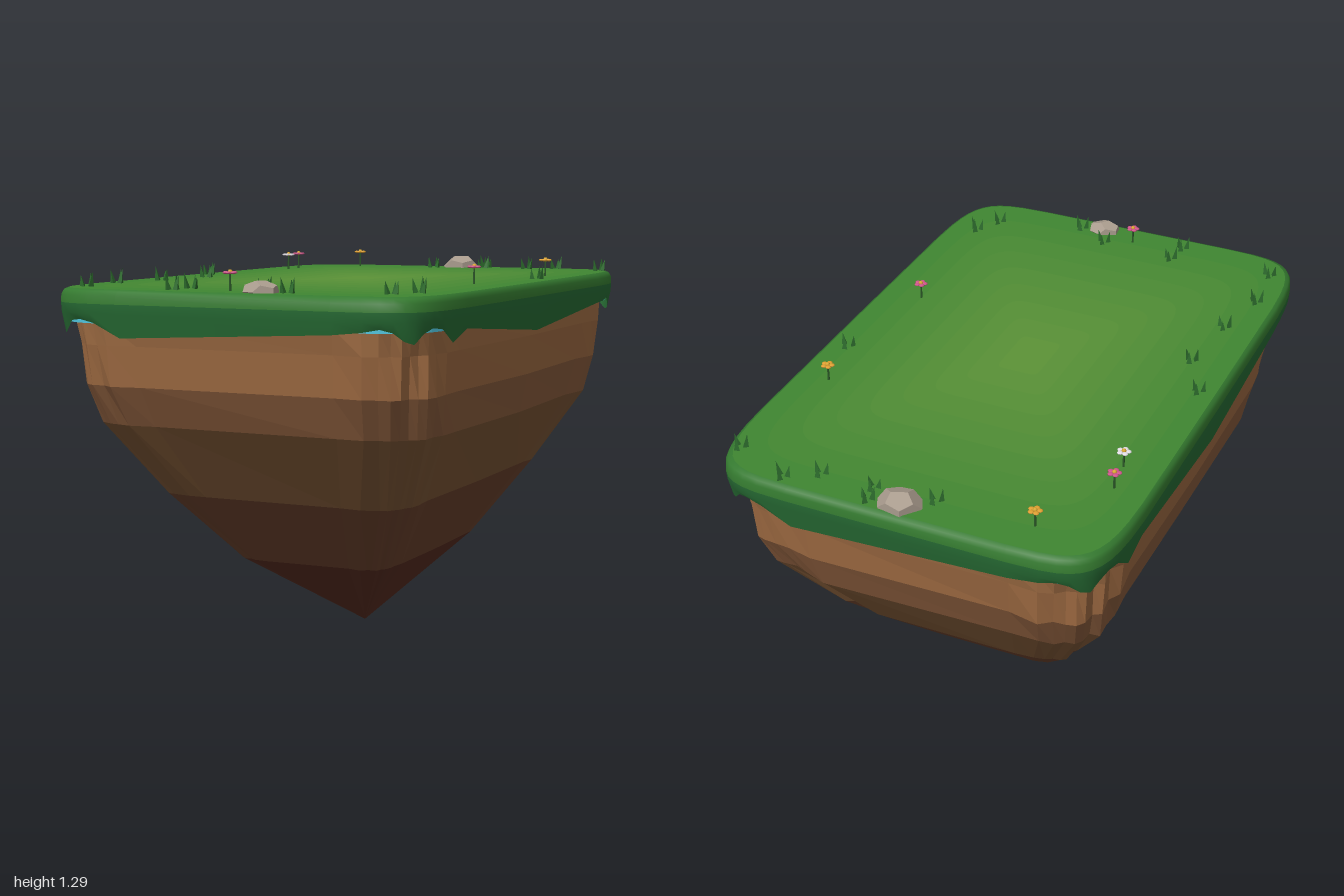
import * as THREE from 'three';

const SEGMENTS = 46, HALF_X = 0.665, HALF_Z = 1, TOP = 1.22;

// Repeatable noise in 0..1
const noise = (a, b = 0) => {
  const s = Math.sin(a * 12.9898 + b * 78.233) * 43758.5453;
  return s - Math.floor(s);
};

const paint = (color, extra = {}) => new THREE.MeshStandardMaterial({ color, ...extra });

function add(parent, name, geometry, material) {
  const mesh = new THREE.Mesh(geometry, material);
  mesh.name = name;
  parent.add(mesh);
  return mesh;
}

// Squarish oval cross-section; height and inset may vary with the column
function ring(halfX, halfZ, height, inset = () => 1) {
  const soft = v => Math.sign(v) * Math.abs(v) ** 0.22;
  return Array.from({ length: SEGMENTS }, (_, k) => {
    const a = k / SEGMENTS * Math.PI * 2, s = inset(k);
    const y = typeof height === 'function' ? height(k) : height;
    return [halfX * s * soft(Math.cos(a)), y, halfZ * s * soft(Math.sin(a))];
  });
}
const islandRing = (scale, height) => ring(HALF_X * scale, HALF_Z * scale, height);

// Skin through a list of rings
function loft(rings) {
  const index = [];
  for (let r = 0; r < rings.length - 1; r++) {
    for (let k = 0; k < SEGMENTS; k++) {
      const a = r * SEGMENTS + k, b = r * SEGMENTS + (k + 1) % SEGMENTS;
      index.push(a, b, a + SEGMENTS, b, b + SEGMENTS, a + SEGMENTS);
    }
  }
  const g = new THREE.BufferGeometry();
  g.setAttribute('position', new THREE.Float32BufferAttribute(rings.flat(2), 3));
  g.setIndex(index);
  g.computeVertexNormals();
  return g;
}

function makeGrass() {
  const group = new THREE.Group();
  group.name = 'grass';

  // Lawn: concentric rings, lighter in the middle
  const middle = new THREE.Color(0x5c9337), edge = new THREE.Color(0x3f8631), steps = 9;
  for (let i = 0; i < steps; i++) {
    const inner = Math.max(0.0001, i / steps) * 0.975, outer = (i + 1) / steps * 0.975;
    add(group, 'lawnRing', loft([islandRing(inner, TOP), islandRing(outer, TOP)]),
      paint(middle.clone().lerp(edge, i / (steps - 1))));
  }

  // Rounded rim and ragged overhang
  const hem = [1.06, 1.11, 1.075, 1.12, 1.125, 1.11, 1.08, 1.09, 1.115, 1.125, 1.115, 1.105,
    1.07, 1.115, 1.125, 1.12, 1.09, 1.075, 1.08, 1.1, 1.125, 1.115, 1.11];
  add(group, 'grassRim', loft([islandRing(0.975, TOP), islandRing(0.99, 1.214),
    islandRing(0.998, 1.2), islandRing(1, 1.175)]), paint(0x34792f));
  add(group, 'grassOverhang', loft([islandRing(1, 1.175), islandRing(0.998, 1.145),
    islandRing(0.985, k => hem[k % 23])]), paint(0x266a33, { side: THREE.DoubleSide }));

  // Thin bright seam under the turf
  add(group, 'seam', loft([islandRing(0.972, 1.14), islandRing(0.972, 1.112), islandRing(0.94, 1.112)]),
    paint(0x4fc3dc, { flatShading: true, side: THREE.DoubleSide }));
  return group;
}

function makeRock() {
  const group = new THREE.Group();
  group.name = 'rock';
  // Half width, half depth, height of each layer
  const layers = [[0.64, 0.965, 1.125], [0.635, 0.955, 1.04], [0.627, 0.942, 0.91],
    [0.6, 0.885, 0.78], [0.455, 0.69, 0.53], [0.288, 0.437, 0.28]];
  const colors = [0xa36f45, 0x9b6840, 0x85593a, 0x785333, 0x673f2a, 0x552b1f];
  const rings = layers.map(([x, z, y], i) =>
    ring(x, z, y, k => 1 - (i ? 0.035 : 0.015) * (noise(k, 1) + noise(k, i + 2)) / 1.4));
  rings.push(Array.from({ length: SEGMENTS }, () => [0.015, 0, -0.01]));
  colors.forEach((color, i) => add(group, 'rockLayer', loft([rings[i], rings[i + 1]]),
    paint(color, { flatShading: true })));
  return group;
}

// Three leaning blades
function makeTuft(x, z, seed) {
  const tuft = new THREE.Group();
  tuft.name = 'grassTuft';
  const material = paint(0x2c6a2c, { flatShading: true });
  for (let i = 0; i < 3; i++) {
    const h = 0.034 + 0.018 * noise(seed, i);
    const blade = add(tuft, 'blade', new THREE.ConeGeometry(0.011, h, 3).translate(0, h / 2, 0), material);
    blade.position.set((i - 1) * 0.014, 0, i === 1 ? -0.016 : 0.01);
    blade.rotation.set(0, noise(seed, i + 5), (1 - i) * 0.18);
  }
  tuft.position.set(x, TOP, z);
  return tuft;
}

// Stem, five petals and a heart
function makeFlower(x, z, color) {
  const flower = new THREE.Group();
  flower.name = 'flower';
  add(flower, 'stem', new THREE.CylinderGeometry(0.003, 0.004, 0.055, 5).translate(0, 0.0275, 0), paint(0x2c5a28));
  const petal = new THREE.SphereGeometry(0.01, 7, 5).scale(1, 0.45, 1);
  const material = paint(color);
  for (let i = 0; i < 5; i++) {
    const a = i / 5 * Math.PI * 2;
    add(flower, 'petal', petal, material).position.set(Math.sin(a) * 0.014, 0.056, Math.cos(a) * 0.014);
  }
  add(flower, 'flowerHeart', new THREE.SphereGeometry(0.008, 7, 5), paint(0xd9a62e)).position.y = 0.058;
  flower.position.set(x, TOP, z);
  return flower;
}

export function createModel() {
  const model = new THREE.Group();
  model.name = 'floatingIsland';
  model.add(makeGrass(), makeRock());

  const tufts = [[0.11, -0.945], [0.12, -0.885], [-0.08, -0.87], [0.4, -0.945], [0.3, -0.885],
    [0.6, -0.86], [0.585, -0.195], [-0.59, 0.015], [-0.505, 0.185], [-0.535, 0.435], [-0.58, 0.645],
    [-0.565, 0.845], [-0.195, 0.82], [-0.21, 0.91], [0.075, 0.84], [0.19, 0.91], [0.495, 0.83], [0.545, 0.74]];
  tufts.forEach(([x, z], i) => model.add(makeTuft(x, z, i + 1)));

  const pink = 0xd0558a, yellow = 0xe0a030, white = 0xe4dfe6;
  const flowers = [[-0.4, -0.86, yellow], [-0.54, -0.59, pink], [-0.525, -0.475, white],
    [0.54, -0.405, yellow], [0.505, 0.2, pink], [-0.025, 0.885, pink]];
  flowers.forEach(f => model.add(makeFlower(...f)));

  // Flattened boulders: x, z, half sizes, turn
  const stones = [[0.01, -0.925, 0.07, 0.042, 0.062, 0.4], [0.105, 0.93, 0.06, 0.034, 0.042, 1.1]];
  for (const [x, z, sx, sy, sz, turn] of stones) {
    const g = new THREE.DodecahedronGeometry(1.05, 0).rotateY(turn).scale(sx, sy, sz);
    add(model, 'stone', g, paint(0xa89a8c, { flatShading: true })).position.set(x, TOP + 0.003, z);
  }
  return model;
}
